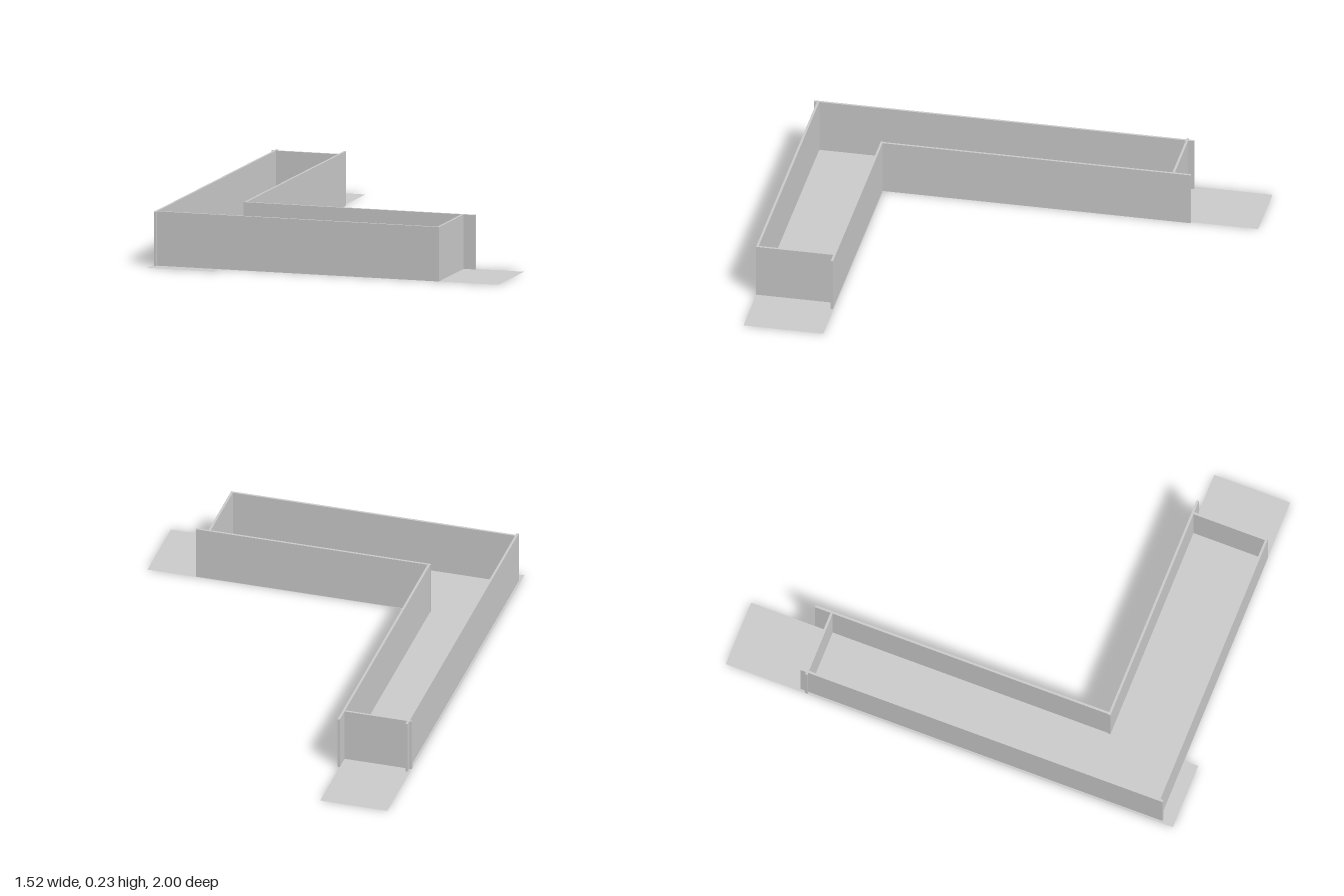
import * as THREE from 'three';

const HEIGHT = 0.23;
const THICK = 0.01;

export function createModel() {
  const model = new THREE.Group();
  const wallMat = new THREE.MeshStandardMaterial({ color: 0xcccccc });
  const floorMat = new THREE.MeshStandardMaterial({ color: 0xcccccc, side: THREE.DoubleSide });

  // Flat floor strip between two corners on the ground
  function floor(name, x0, x1, z0, z1) {
    const mesh = new THREE.Mesh(new THREE.PlaneGeometry(x1 - x0, z1 - z0), floorMat);
    mesh.rotation.x = -Math.PI / 2;
    mesh.position.set((x0 + x1) / 2, 0, (z0 + z1) / 2);
    mesh.name = name;
    model.add(mesh);
  }

  // Thin upright panel, centred on the line between two ground points
  function wall(name, x0, z0, x1, z1) {
    const geo = new THREE.BoxGeometry(Math.max(x1 - x0, THICK), HEIGHT, Math.max(z1 - z0, THICK));
    const mesh = new THREE.Mesh(geo, wallMat);
    mesh.position.set((x0 + x1) / 2, HEIGHT / 2, (z0 + z1) / 2);
    mesh.name = name;
    model.add(mesh);
  }

  // L-shaped floor: each strip runs past its end wall
  floor('longFloor', -0.76, -0.468, -1, 1);
  floor('shortFloor', -0.468, 0.76, 0.595, 0.935);

  // Outer walls of the L
  wall('outerSideWall', -0.745, -0.67, -0.745, 0.95);
  wall('outerFrontWall', -0.74, 0.932, 0.498, 0.932);

  // Inner walls meeting at the inside corner
  wall('innerSideWall', -0.463, -0.715, -0.463, 0.605);
  wall('innerFrontWall', -0.47, 0.603, 0.55, 0.603);

  // End walls closing both arms
  wall('backEndWall', -0.76, -0.64, -0.468, -0.64);
  wall('rightEndWall', 0.493, 0.598, 0.493, 0.935);

  return model;
}
